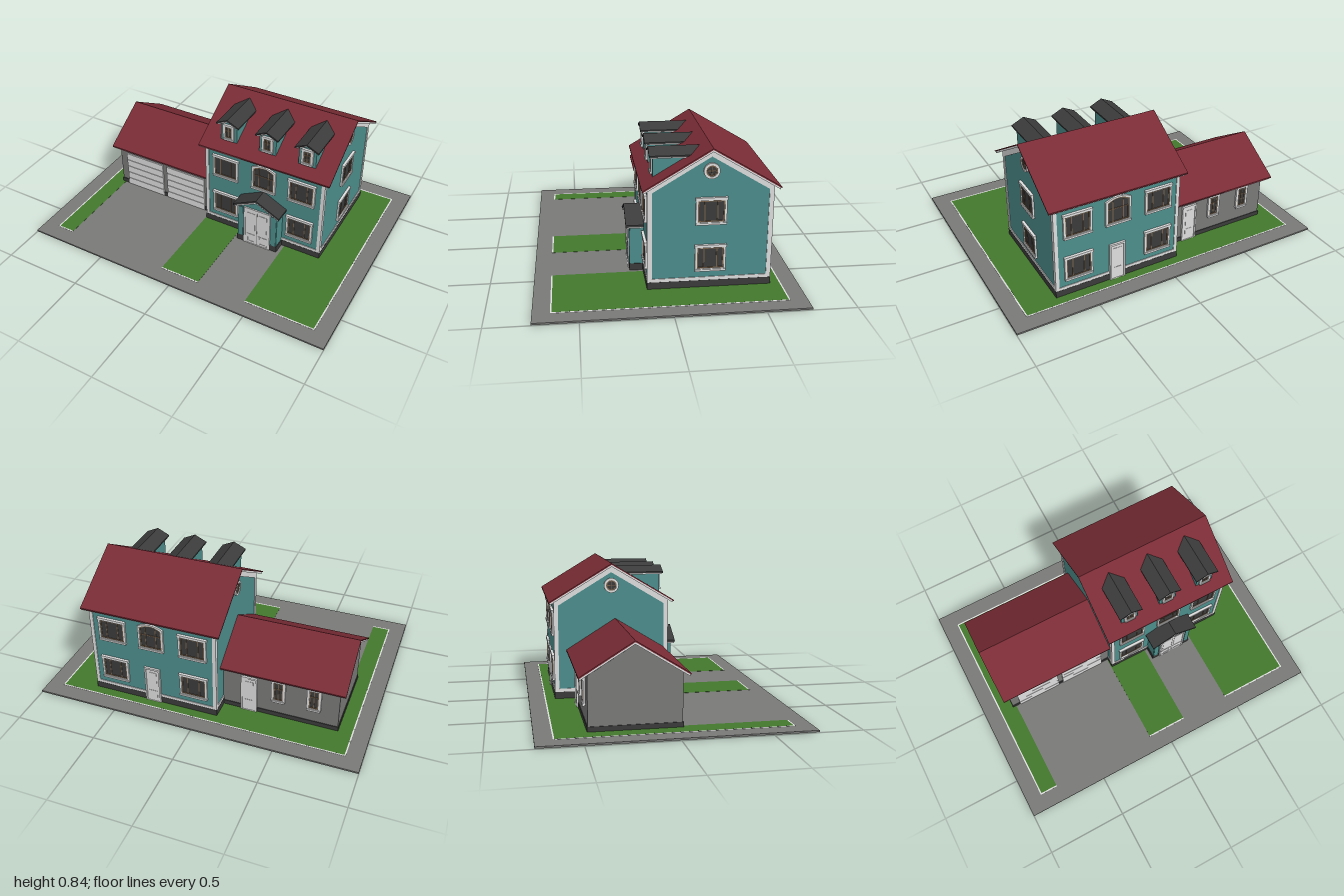
import * as THREE from 'three';

const mat = (name, color) => Object.assign(new THREE.MeshStandardMaterial({ color }), { name });

export function createModel() {
  const red = mat('roofRed', 0x7a2c35), teal = mat('wallTeal', 0x4c8e8c), white = mat('trimWhite', 0xdedede);
  const dark = mat('charcoal', 0x3b3b3b), grey = mat('concreteGrey', 0x797978), green = mat('lawnGreen', 0x43782d);
  const brown = mat('sashBrown', 0x77614a);
  const model = new THREE.Group();
  model.name = 'houseWithGarage';

  // ---- helpers ----
  const put = (parent, name, geo, m, x = 0, y = 0, z = 0) => {
    const mesh = new THREE.Mesh(geo, m);
    mesh.name = name;
    mesh.position.set(x, y, z);
    parent.add(mesh);
    return mesh;
  };
  // box given by its limits
  const box = (parent, name, m, x0, x1, y0, y1, z0, z1) =>
    put(parent, name, new THREE.BoxGeometry(x1 - x0, y1 - y0, z1 - z0), m, (x0 + x1) / 2, (y0 + y1) / 2, (z0 + z1) / 2);
  const poly = (pts) => new THREE.Shape(pts.map(([a, b]) => new THREE.Vector2(a, b)));
  const extrude = (shape, depth) => new THREE.ExtrudeGeometry(shape, { depth, bevelEnabled: false, curveSegments: 16 });
  const ring = (outer, inner, depth) => {
    outer.holes.push(inner);
    return extrude(outer, depth);
  };
  const group = (name, x, y, z, ry = 0) => {
    const g = new THREE.Group();
    g.name = name;
    g.position.set(x, y, z);
    g.rotation.y = ry;
    model.add(g);
    return g;
  };
  const rect = (x0, x1, y0, y1) => poly([[x0, y0], [x1, y0], [x1, y1], [x0, y1]]);
  const gable = (half, y0, eave, peak) => poly([[-half, y0], [half, y0], [half, eave], [0, peak], [-half, eave]]);
  const chevron = (half, eave, peak, t) =>
    poly([[-half, eave - t], [0, peak - t], [half, eave - t], [half, eave], [0, peak], [-half, eave]]);
  // upright opening with an optional arched top
  const opening = (w, y0, y1, rise) => {
    const s = new THREE.Shape();
    s.moveTo(-w / 2, y0);
    s.lineTo(w / 2, y0);
    s.lineTo(w / 2, y1);
    if (rise) s.quadraticCurveTo(0, y1 + rise * 2, -w / 2, y1);
    else s.lineTo(-w / 2, y1);
    return s;
  };
  const disc = (r) => new THREE.Shape().absarc(0, 0, r, 0, Math.PI * 2, false);

  // ---- windows and doors, facing +z of their group ----
  const addWindow = (x, y, z, ry, w, h, rise = 0) => {
    const g = group('window', x, y, z, ry);
    const wide = w > 0.1;
    put(g, 'glass', extrude(opening(w, 0, h, rise), 0.004), dark);
    put(g, 'frame', ring(opening(w + (wide ? 0.024 : 0.03), -0.008, h + 0.008, rise), opening(w, 0, h, rise), 0.011), white);
    put(g, 'sash', ring(opening(w, 0, h, rise), opening(w - 0.013, 0.0065, h - 0.0065, rise), 0.007), brown);
    for (const b of wide ? [-0.24, 0.24] : [0])
      box(g, 'mullion', brown, b * w - 0.0025, b * w + 0.0025, 0, h, 0, 0.007);
    if (rise || !wide) box(g, 'transom', brown, -w / 2, w / 2, h * 0.65 - 0.0025, h * 0.65 + 0.0025, 0, 0.007);
    box(g, 'sill', white, -w / 2 - 0.012, w / 2 + 0.012, -0.016, -0.004, 0, 0.016);
    if (!rise) box(g, 'lintel', white, -w / 2 - 0.015, w / 2 + 0.015, h + 0.003, h + 0.019, 0, 0.016);
  };
  const addDoor = (x, z, ry, w, h) => {
    const g = group('backDoor', x, 0.013, z, ry);
    box(g, 'doorLeaf', white, -w / 2, w / 2, 0, h, 0, 0.007);
    put(g, 'doorFrame', ring(rect(-w / 2 - 0.01, w / 2 + 0.01, 0, h + 0.012), rect(-w / 2, w / 2, 0.002, h), 0.013), white);
    for (const [y0, y1] of [[0.02, 0.08], [0.1, h - 0.02]])
      box(g, 'doorPanel', white, -w / 2 + 0.014, w / 2 - 0.014, y0, y1, 0.005, 0.009);
  };
  const addOculus = (x) => {
    const g = group('roundWindow', x, 0.705, -0.2375, x > 0.3 ? Math.PI / 2 : -Math.PI / 2);
    put(g, 'roundFrame', ring(disc(0.045), disc(0.032), 0.012), white);
    put(g, 'roundGlass', extrude(disc(0.032), 0.005), dark);
    put(g, 'roundSash', ring(disc(0.032), disc(0.025), 0.008), brown);
    box(g, 'roundBar', brown, -0.028, 0.028, -0.002, 0.002, 0, 0.007);
    box(g, 'roundBar', brown, -0.002, 0.002, -0.028, 0.028, 0, 0.007);
  };

  // ---- ground ----
  box(model, 'pavement', grey, -1, 1, 0.003, 0.013, -0.75, 0.75);
  box(model, 'garageFooting', grey, -0.81, -0.1, 0, 0.003, -0.465, 0.05);
  const lawn = poly([[-0.895, -0.645], [0.895, -0.645], [0.895, 0.645], [0.46, 0.645], [0.46, 0.1], [0.145, 0.1],
    [0.145, 0.645], [-0.11, 0.645], [-0.11, 0.04], [-0.79, 0.04], [-0.79, 0.645], [-0.895, 0.645]]);
  // the shape's y axis becomes +z, the extrusion goes down
  put(model, 'lawn', extrude(lawn, 0.003), green, 0, 0.0142, 0).rotation.x = Math.PI / 2;
  for (const s of [-1, 1]) box(model, 'sideKerb', white, s * 0.899 - 0.004, s * 0.899 + 0.004, 0.011, 0.014, -0.65, 0.65);
  for (const [x0, x1, z] of [[-0.9, 0.9, -0.649], [-0.9, -0.79, 0.649], [-0.11, 0.145, 0.649], [0.46, 0.9, 0.649]])
    box(model, 'kerb', white, x0, x1, 0.011, 0.0141, z - 0.004, z + 0.004);

  // ---- main house; its gable profile runs along x ----
  const cz = -0.2375, cx = 0.295;
  const house = group('mainHouse', -0.1, 0, cz, Math.PI / 2);
  put(house, 'walls', extrude(gable(0.3475, 0.05, 0.612, 0.822), 0.79), teal);
  for (const z of [-0.004, 0.79])
    put(house, 'gableTrim', ring(gable(0.3515, 0.055, 0.612, 0.822), gable(0.325, 0.075, 0.588, 0.785), 0.004), white, 0, 0, z);
  put(house, 'roof', extrude(chevron(0.382, 0.611, 0.84, 0.008), 0.865), red, 0, 0, -0.035);
  put(house, 'roofSoffit', extrude(chevron(0.376, 0.607, 0.832, 0.012), 0.857), white, 0, 0, -0.031);
  box(model, 'foundation', dark, -0.105, 0.695, 0.01, 0.055, -0.59, 0.115);
  for (const z of [-0.589, 0.11])
    put(model, 'facadeTrim', ring(rect(-0.104, 0.694, 0.055, 0.612), rect(-0.082, 0.672, 0.073, 0.588), 0.004), white, 0, 0, z);

  // windows on the long sides
  for (const x of [0.04, 0.55])
    for (const y of [0.13, 0.41]) {
      addWindow(x, y, 0.11, 0, 0.15, 0.125);
      addWindow(2 * cx - x, y, -0.585, Math.PI, 0.15, 0.125);
    }
  addWindow(0.3, 0.41, 0.11, 0, 0.136, 0.135, 0.022);
  addWindow(0.3, 0.41, -0.585, Math.PI, 0.136, 0.135, 0.022);
  addDoor(0.305, -0.585, Math.PI, 0.08, 0.235);
  // gable ends
  for (const y of [0.13, 0.41]) addWindow(0.69, y, -0.24, Math.PI / 2, 0.15, 0.125);
  addOculus(0.69);
  addOculus(-0.1);

  // ---- dormers ----
  for (const x of [0.04, 0.3, 0.555]) {
    const d = group('dormer', x, 0, 0);
    put(d, 'dormerWalls', extrude(gable(0.055, 0.64, 0.772, 0.796), 0.225), teal, 0, 0, -0.15);
    put(d, 'dormerRoof', extrude(chevron(0.075, 0.777, 0.813, 0.009), 0.296), dark, 0, 0, -0.2);
    put(d, 'dormerFascia', extrude(chevron(0.07, 0.77, 0.804, 0.009), 0.205), white, 0, 0, -0.115);
    addWindow(x, 0.678, 0.073, 0, 0.045, 0.075);
  }

  // ---- entrance porch ----
  const porch = group('porch', 0.302, 0, 0);
  put(porch, 'porchWalls', extrude(gable(0.133, 0.05, 0.292, 0.363), 0.089), teal, 0, 0, 0.1);
  box(porch, 'porchBase', dark, -0.137, 0.137, 0.01, 0.055, 0.1, 0.193);
  put(porch, 'porchRoof', extrude(chevron(0.156, 0.307, 0.386, 0.013), 0.115), dark, 0, 0, 0.1);
  put(porch, 'porchFascia', extrude(chevron(0.15, 0.297, 0.373, 0.012), 0.11), white, 0, 0, 0.1);
  for (const s of [-1, 1]) {
    const px = s * 0.114;
    box(porch, 'pilaster', teal, px - 0.016, px + 0.016, 0.055, 0.285, 0.18, 0.193);
    box(porch, 'porchEaveTrim', white, s * 0.138 - 0.006, s * 0.138 + 0.006, 0.285, 0.3, 0.1, 0.197);
    // double door leaf with its panels
    const lx = s * 0.04;
    box(porch, 'doorLeaf', white, lx - 0.039, lx + 0.039, 0.014, 0.28, 0.18, 0.194);
    box(porch, 'upperPanel', white, lx - 0.027, lx + 0.027, 0.11, 0.26, 0.192, 0.196);
    put(porch, 'lowerPanelRim', ring(rect(-0.031, 0.031, 0.022, 0.09), rect(-0.02, 0.02, 0.033, 0.079), 0.002), white, lx, 0, 0.194);
  }
  box(porch, 'doorGap', grey, -0.0015, 0.0015, 0.014, 0.28, 0.18, 0.195);
  put(porch, 'doorFrame', ring(rect(-0.09, 0.09, 0.013, 0.295), rect(-0.079, 0.079, 0.015, 0.28), 0.018), white, 0, 0, 0.18);

  // ---- garage ----
  const garage = group('garage', -0.81, 0, -0.2075, Math.PI / 2);
  put(garage, 'garageWalls', extrude(gable(0.2575, 0.035, 0.316, 0.476), 0.71), grey);
  const gRoof = group('garageRoof', -0.85, 0, -0.215, Math.PI / 2);
  put(gRoof, 'garageRoofTiles', extrude(chevron(0.3, 0.316, 0.502, 0.008), 0.75), red);
  put(gRoof, 'garageSoffit', extrude(chevron(0.294, 0.312, 0.494, 0.012), 0.744), white, 0, 0, 0.005);
  box(model, 'garageBase', dark, -0.814, -0.1, 0.01, 0.042, -0.469, 0.054);
  for (const x of [-0.615, -0.298]) {
    const d = group('garageDoor', x, 0, 0.05);
    box(d, 'doorBacking', white, -0.143, 0.143, 0.014, 0.268, 0, 0.005);
    // five overlapping door sections
    for (let i = 0; i < 5; i++) box(d, 'doorSection', white, -0.143, 0.143, 0.014 + i * 0.051, 0.062 + i * 0.051, 0.003, 0.008);
  }
  for (const x of [-0.445, -0.66]) addWindow(x, 0.14, -0.465, Math.PI, 0.056, 0.125);
  addDoor(-0.265, -0.465, Math.PI, 0.08, 0.235);

  return model;
}
